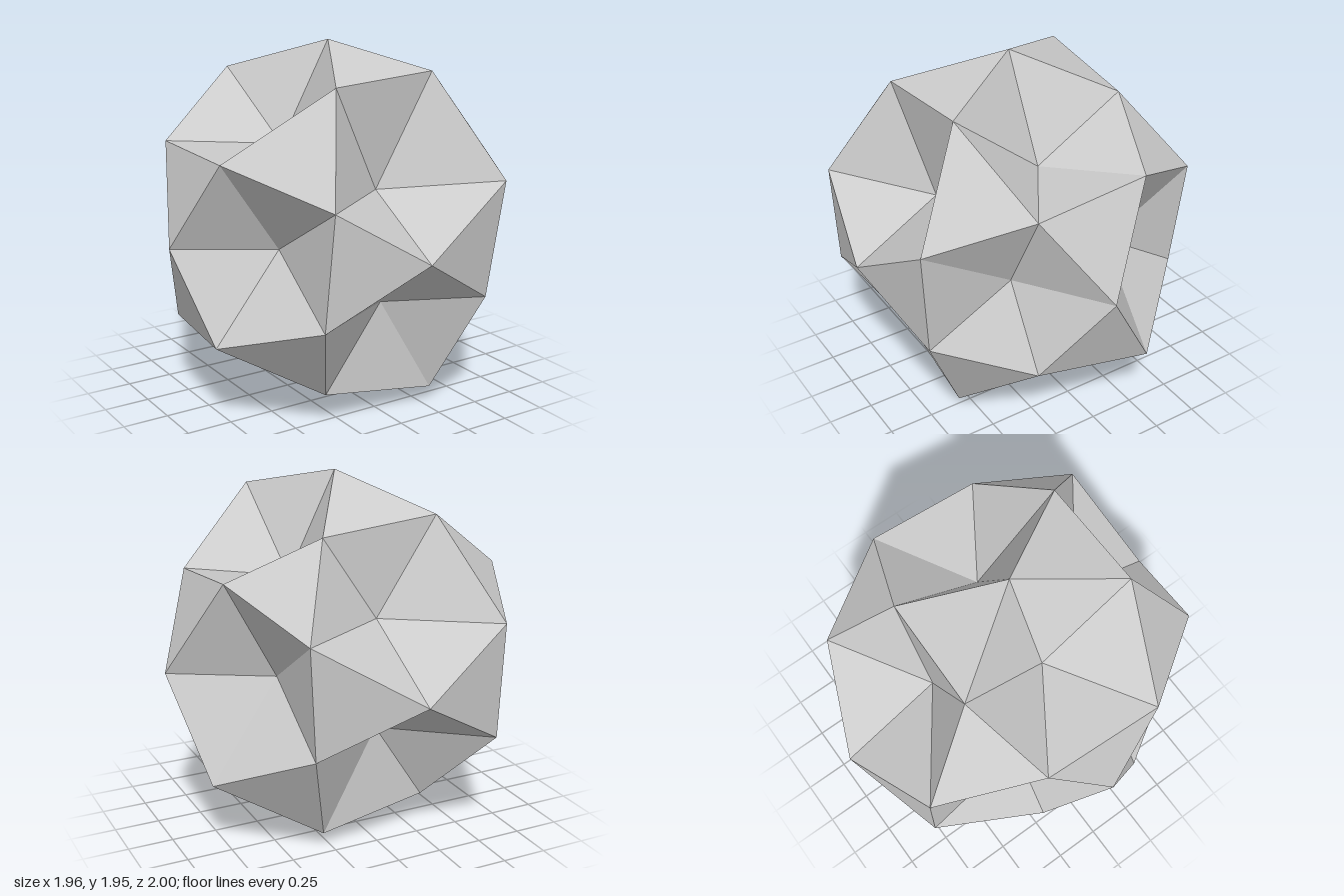
import * as THREE from 'three';

// Irregular rock core: the point all bumps and dents grow out of
const CORE = new THREE.Vector3(-0.018, 0.955, 0.06);

// Reach of the six axis peaks: [positive, negative] for x, y, z
const PEAKS = [[0.997, 0.964], [1.008, 0.945], [0.942, 1.06]];

// Depth of the dents lying in the planes x = 0, y = 0, z = 0 (signs ++, -+, +-, --)
const DENTS = [
  [0.535, 0.6, 0.58, 0.58],
  [0.62, 0.58, 0.57, 0.58],
  [0.53, 0.56, 0.57, 0.57],
];

// Ridge corners per octant, as unsigned offsets: side, upright and front/back facing
const RIDGES = {
  '+++': [[0.763, 0.473, 0.315], [0.307, 0.878, 0.51], [0.543, 0.336, 0.845]],
  '-++': [[0.836, 0.488, 0.333], [0.297, 0.845, 0.534], [0.5, 0.31, 0.842]],
  '+-+': [[0.763, 0.483, 0.306], [0.317, 0.86, 0.538], [0.48, 0.296, 0.79]],
  '--+': [[0.859, 0.472, 0.29], [0.334, 0.771, 0.5], [0.533, 0.294, 0.805]],
  '++-': [[0.775, 0.54, 0.32], [0.304, 0.763, 0.487], [0.527, 0.315, 0.813]],
  '-+-': [[0.804, 0.488, 0.341], [0.337, 0.828, 0.509], [0.544, 0.312, 0.888]],
  '+--': [[0.87, 0.543, 0.328], [0.31, 0.865, 0.497], [0.48, 0.312, 0.77]],
  '---': [[0.78, 0.485, 0.31], [0.29, 0.755, 0.49], [0.52, 0.315, 0.878]],
};

// Moves one point of the unit sphere to its place on the rock
function displace(v) {
  const c = v.toArray().map((n) => (Math.abs(n) < 1e-4 ? 0 : n));
  const zeros = c.filter((n) => n === 0).length;
  const size = c.map(Math.abs);
  const main = size.indexOf(Math.max(...size));

  if (zeros === 2) {
    v.fromArray(c).multiplyScalar(PEAKS[main][c[main] < 0 ? 1 : 0]);
  } else if (zeros === 1) {
    const plane = c.indexOf(0);
    const [a, b] = c.filter((n) => n !== 0);
    v.fromArray(c).multiplyScalar(DENTS[plane][(a < 0 ? 1 : 0) + (b < 0 ? 2 : 0)]);
  } else {
    const octant = c.map((n) => (n < 0 ? '-' : '+')).join('');
    v.fromArray(RIDGES[octant][main].map((n, i) => n * Math.sign(c[i])));
  }
  return v.add(CORE);
}

export function createModel() {
  const group = new THREE.Group();
  group.name = 'rock';

  // Once-divided icosahedron with its original corners sunk into dents
  const geometry = new THREE.IcosahedronGeometry(1, 1);
  const position = geometry.attributes.position;
  const v = new THREE.Vector3();
  for (let i = 0; i < position.count; i++) {
    displace(v.fromBufferAttribute(position, i));
    position.setXYZ(i, v.x, v.y, v.z);
  }
  geometry.computeVertexNormals();

  const body = new THREE.Mesh(
    geometry,
    new THREE.MeshStandardMaterial({ color: 0xcccccc, flatShading: true })
  );
  body.name = 'rockBody';
  group.add(body);
  return group;
}
